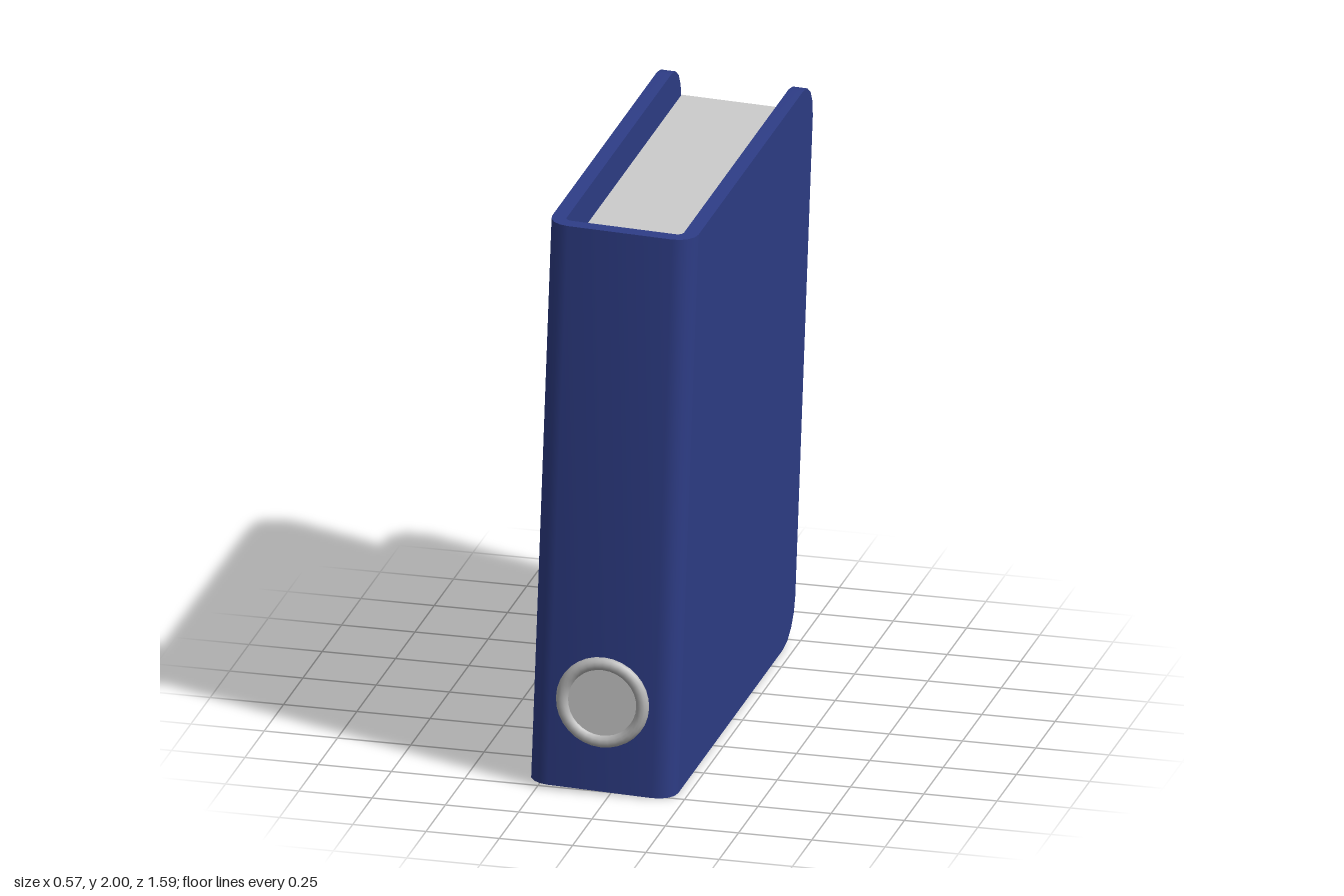
import * as THREE from 'three';
import { toCreasedNormals } from 'three/addons/utils/BufferGeometryUtils.js';

const W = 0.5, H = 1.984, T = 0.05;      // width, height, board thickness
const BEND = 0.7, FRONT = 0.772, BACK = -0.795;

const material = (name, color) => {
  const m = new THREE.MeshStandardMaterial({ color });
  m.name = name;
  return m;
};

function extrude(shape, depth) {
  return new THREE.ExtrudeGeometry(shape, { depth, bevelEnabled: false, curveSegments: 2 });
}

// Board outline: square at the spine, rounded at the free corners
function boardGeometry() {
  const s = new THREE.Shape(), h = H / 2, r = 0.14, e = -BACK;
  s.moveTo(-BEND, -h);
  s.lineTo(e - r, -h);
  s.absarc(e - r, -h + r, r, -Math.PI / 2, 0);
  s.lineTo(e, h - r);
  s.absarc(e - r, h - r, r, 0, Math.PI / 2);
  s.lineTo(-BEND, h);
  s.closePath();
  const g = extrude(s, T).rotateY(Math.PI / 2).translate(-T / 2, 0, 0);
  return toCreasedNormals(g, 0.9);
}

// Spine cross-section: a shallow U with rounded outer and inner corners
function spineGeometry() {
  const s = new THREE.Shape(), o = W / 2, i = o - T;
  const r = FRONT - BEND, q = r - T;
  s.moveTo(o, BEND);
  s.absarc(o - r, BEND, r, 0, Math.PI / 2);
  s.lineTo(-o + r, FRONT);
  s.absarc(-o + r, BEND, r, Math.PI / 2, Math.PI);
  s.lineTo(-i, BEND);
  s.absarc(-i + q, BEND, q, Math.PI, Math.PI / 2, true);
  s.lineTo(i - q, FRONT - T);
  s.absarc(i - q, BEND, q, Math.PI / 2, 0, true);
  s.closePath();
  const g = extrude(s, H).rotateX(Math.PI / 2).translate(0, H / 2, 0);
  return toCreasedNormals(g, 0.9);
}

export function createModel() {
  const blue = material('cover blue', 0x2e3d87);
  const paper = material('paper grey', 0xcacaca);
  const metal = material('ring grey', 0xb8b8b8);

  const model = new THREE.Group();
  model.name = 'book';
  const add = (name, geometry, mat, x = 0, y = 0, z = 0) => {
    const mesh = new THREE.Mesh(geometry, mat);
    mesh.name = name;
    mesh.position.set(x, y, z);
    tilted.add(mesh);
    return mesh;
  };

  // The whole book leans slightly to one side
  const tilted = new THREE.Group();
  tilted.name = 'leaningBook';
  tilted.position.y = 1;
  tilted.rotation.z = -0.035;
  model.add(tilted);

  // Cover
  const board = boardGeometry();
  add('leftBoard', board, blue, W / 2 - T / 2);
  add('rightBoard', board, blue, -W / 2 + T / 2);
  add('spine', spineGeometry(), blue);

  // Pages
  add('pages', new THREE.BoxGeometry(0.325, 1.85, 1.345), paper, 0, 0, 0.021);

  // Finger ring on the spine
  add('fingerRing', new THREE.TorusGeometry(0.137, 0.022, 12, 32), metal, 0, -0.675, 0.773);
  const disc = new THREE.CylinderGeometry(0.125, 0.125, 0.008, 32).rotateX(Math.PI / 2);
  add('ringDisc', disc, paper, 0, -0.675, 0.774);

  return model;
}
